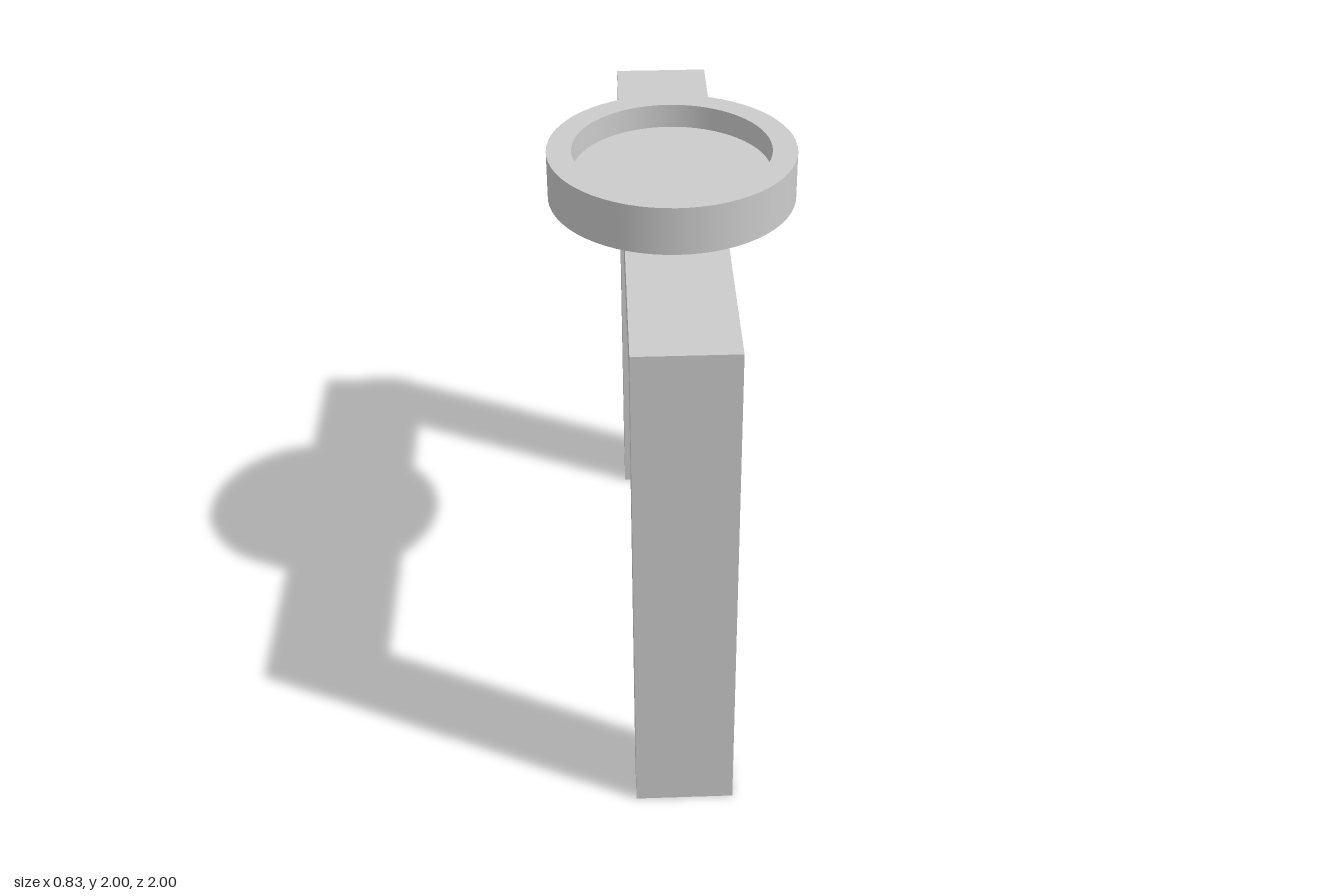
import * as THREE from 'three';

const U = 1 / 6; // stock thickness; every size is a multiple of it

export function createModel() {
  const group = new THREE.Group();
  const material = new THREE.MeshStandardMaterial({ color: 0xcccccc });

  // Arched frame: two legs and a crossbeam in one side profile, extruded across x
  const profile = new THREE.Shape([
    [-6, 0], [-5, 0], [-5, 10], [5, 10], [5, 0], [6, 0], [6, 11], [-6, 11],
  ].map(([z, y]) => new THREE.Vector2(z * U, y * U)));
  const frameGeometry = new THREE.ExtrudeGeometry(profile, { depth: 2 * U, bevelEnabled: false });
  frameGeometry.translate(0, 0, -U).rotateY(Math.PI / 2);
  const frame = new THREE.Mesh(frameGeometry, material);
  frame.name = 'archedFrame';
  group.add(frame);

  // Round dish with a shallow recess; each straight run is its own lathe to keep edges sharp
  const dish = new THREE.Group();
  dish.name = 'dish';
  const outline = [[0, 11], [2.5, 11], [2.5, 12], [2, 12], [2, 11.5], [0, 11.5]]
    .map(([r, y]) => new THREE.Vector2(r * U, y * U));
  ['dishBase', 'dishOuterWall', 'dishRim', 'dishInnerWall', 'dishFloor'].forEach((name, i) => {
    const part = new THREE.Mesh(new THREE.LatheGeometry([outline[i], outline[i + 1]], 64), material);
    part.name = name;
    dish.add(part);
  });
  group.add(dish);

  return group;
}
